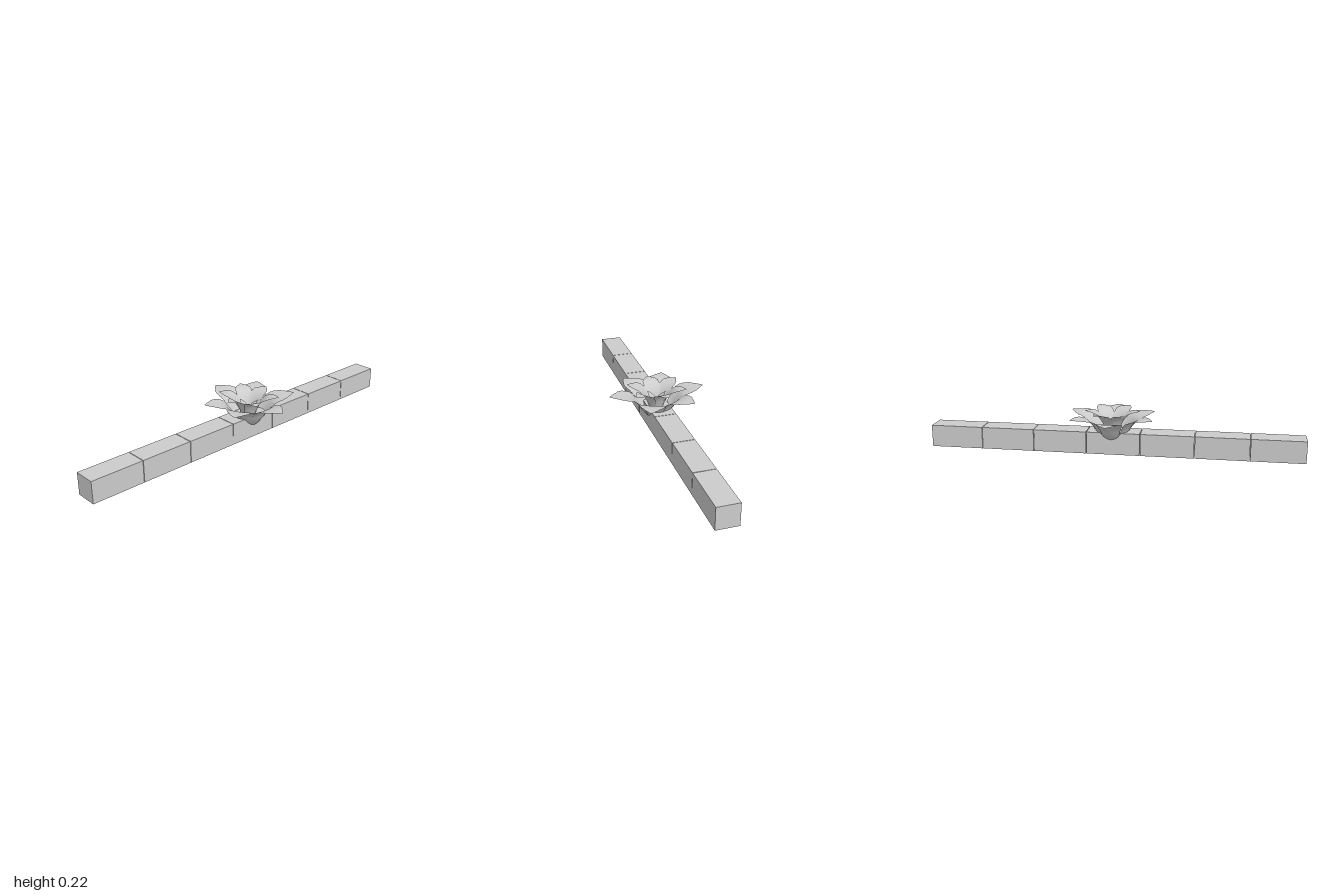
import * as THREE from 'three';

const grey = new THREE.MeshStandardMaterial({ color: 0xcccccc });
const petalGrey = new THREE.MeshStandardMaterial({ color: 0xcccccc, side: THREE.DoubleSide });

// Petal growing along +x: profile gives [radius, height], widths the half-widths along it.
function petalGeometry(profile, widths, curl) {
  const spine = new THREE.SplineCurve(profile.map(([r, y]) => new THREE.Vector2(r, y)));
  const breadth = new THREE.SplineCurve(widths.map((w, i) => new THREE.Vector2(i / (widths.length - 1), w)));
  const rows = 44, cols = 8, positions = [], index = [];
  for (let i = 0; i <= rows; i++) {
    const t = i / rows;
    const p = spine.getPoint(t);
    // Serrated rim on the outer half
    const tooth = t > 0.45 ? 0.1 * (((t - 0.45) * 14) % 1) : 0;
    const half = Math.max(0.002, breadth.getPoint(t).y * (0.96 + tooth));
    for (let j = 0; j <= cols; j++) {
      const s = (j / cols) * 2 - 1;
      // Sides wrap inward around the flower's axis, flattening toward the tip
      const inward = curl * (1 - t) * half * s * s;
      positions.push(p.x - inward, p.y, half * s);
      if (i < rows && j < cols) {
        const a = i * (cols + 1) + j, b = a + cols + 1;
        index.push(a, a + 1, b, b, a + 1, b + 1);
      }
    }
  }
  const geometry = new THREE.BufferGeometry();
  geometry.setAttribute('position', new THREE.Float32BufferAttribute(positions, 3));
  geometry.setIndex(index);
  geometry.computeVertexNormals();
  return geometry;
}

function petalRing(name, geometry, petals) {
  const ring = new THREE.Group();
  ring.name = name;
  for (const [degrees, stretch] of petals) {
    const petal = new THREE.Mesh(geometry, petalGrey);
    petal.name = 'petal';
    petal.rotation.y = -THREE.MathUtils.degToRad(degrees);
    petal.scale.x = stretch;
    ring.add(petal);
  }
  return ring;
}

export function createModel() {
  const model = new THREE.Group();

  // Beam made of seven blocks with hairline joints
  const beam = new THREE.Group();
  beam.name = 'beam';
  const count = 7, pitch = 2 / count;
  const blockGeometry = new THREE.BoxGeometry(0.117, 0.118, pitch - 0.003);
  for (let i = 0; i < count; i++) {
    const block = new THREE.Mesh(blockGeometry, grey);
    block.name = 'block';
    block.position.set(-0.0085, 0.06, -1 + pitch * (i + 0.5));
    beam.add(block);
  }
  model.add(beam);

  // Flower: wide outer petals, upright inner petals, small heart
  const flower = new THREE.Group();
  flower.name = 'flower';
  flower.position.z = -0.01;
  const outer = petalGeometry(
    [[0.02, 0.045], [0.058, 0.075], [0.085, 0.11], [0.11, 0.15], [0.14, 0.182], [0.19, 0.197], [0.252, 0.199]],
    [0.012, 0.03, 0.046, 0.058, 0.067, 0.06, 0.004], 0.45);
  const inner = petalGeometry(
    [[0.01, 0.06], [0.03, 0.1], [0.045, 0.14], [0.065, 0.18], [0.09, 0.207], [0.12, 0.221], [0.16, 0.223]],
    [0.01, 0.02, 0.03, 0.038, 0.043, 0.038, 0.003], 0.45);
  const heart = petalGeometry(
    [[0.006, 0.08], [0.014, 0.11], [0.022, 0.14], [0.034, 0.165], [0.055, 0.185]],
    [0.008, 0.014, 0.02, 0.018, 0.002], 0.4);
  flower.add(
    petalRing('outerPetals', outer, [[0, 1], [60, 0.96], [114, 0.95], [180, 1.03], [235, 0.98], [293, 1.03]]),
    petalRing('innerPetals', inner, [[28, 0.98], [88, 0.9], [148, 1], [208, 1], [264, 0.92], [325, 1.02]]),
    petalRing('heartPetals', heart, [[50, 1], [170, 1], [290, 1]]));
  model.add(flower);
  return model;
}
